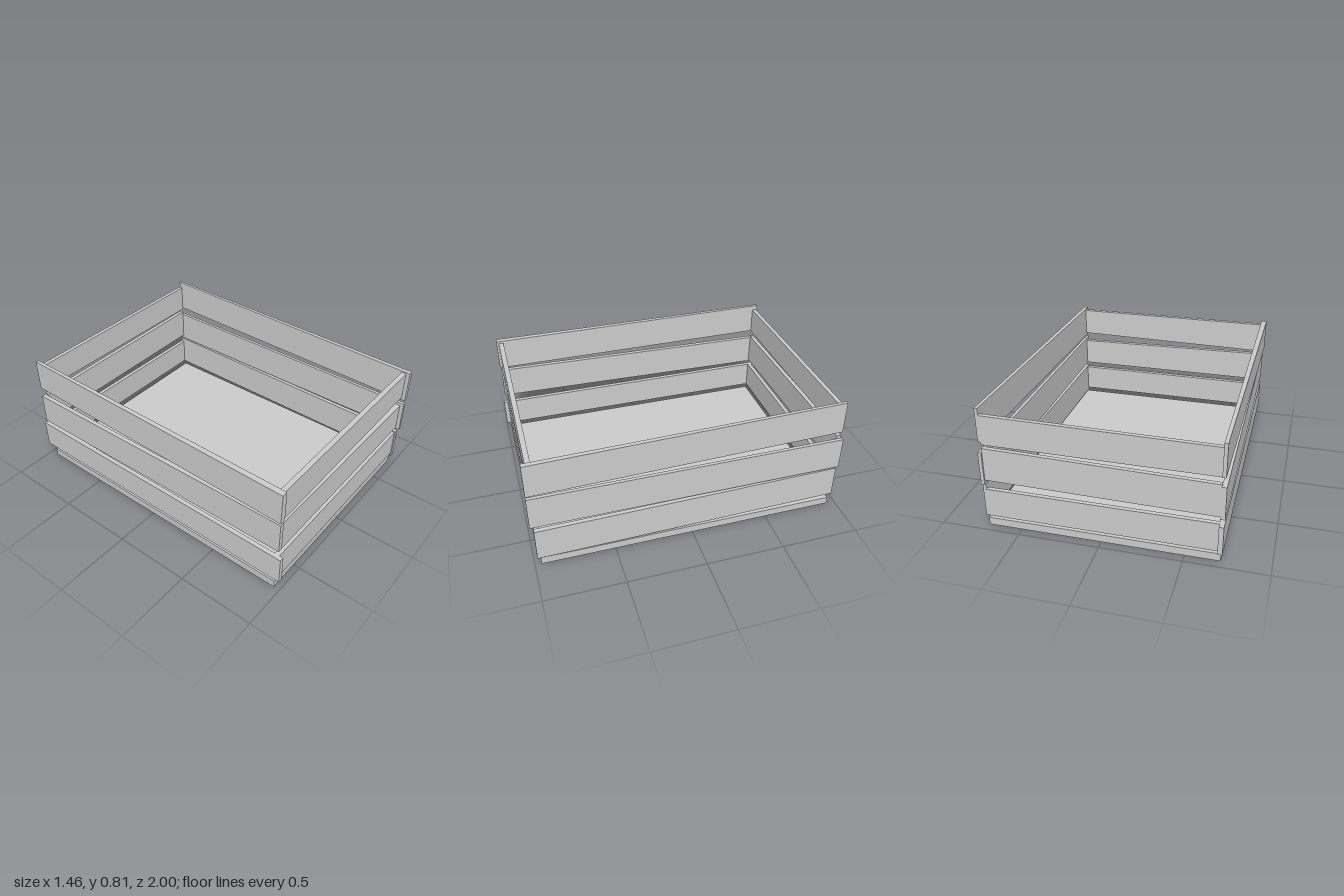
import * as THREE from 'three';

const material = new THREE.MeshStandardMaterial({ color: 0xcccccc, flatShading: true });

// Board running along z. Each end is [z, xMin, xMax, yBottom, yTop].
// With alongX the roles of x and z swap: [x, zMin, zMax, yBottom, yTop].
function board(name, low, high, alongX = false) {
  const geometry = new THREE.BoxGeometry(1, 1, 1);
  const p = geometry.attributes.position;
  for (let i = 0; i < p.count; i++) {
    const along = alongX ? p.getX(i) : p.getZ(i);
    const across = alongX ? p.getZ(i) : p.getX(i);
    const [end, inner, outer, bottom, top] = along < 0 ? low : high;
    const a = across < 0 ? inner : outer;
    const y = p.getY(i) < 0 ? bottom : top;
    p.setXYZ(i, alongX ? end : a, y, alongX ? a : end);
  }
  geometry.computeVertexNormals();
  const mesh = new THREE.Mesh(geometry, material);
  mesh.name = name;
  return mesh;
}

export function createModel() {
  const crate = new THREE.Group();
  crate.name = 'crate';

  // Solid floor panel
  crate.add(board('floor', [-0.945, -0.71, 0.715, 0, 0.05], [0.96, -0.71, 0.715, 0, 0.05]));

  // Long side slats, slightly crooked: back end, then front end
  const sides = {
    rightSlatLower: [[-0.965, 0.7, 0.72, 0.085, 0.3], [0.98, 0.7, 0.73, 0.065, 0.28]],
    rightSlatMiddle: [[-0.98, 0.7, 0.722, 0.31, 0.527], [1, 0.7, 0.722, 0.31, 0.527]],
    rightSlatUpper: [[-0.965, 0.7, 0.72, 0.588, 0.805], [1, 0.7, 0.73, 0.555, 0.772]],
    leftSlatLower: [[-1, -0.724, -0.695, 0.086, 0.272], [1, -0.724, -0.695, 0.086, 0.272]],
    leftSlatMiddle: [[-0.975, -0.724, -0.695, 0.305, 0.515], [0.985, -0.724, -0.695, 0.335, 0.545]],
    leftSlatUpper: [[-0.98, -0.717, -0.695, 0.577, 0.787], [0.99, -0.733, -0.695, 0.568, 0.778]],
  };
  for (const [name, [back, front]] of Object.entries(sides)) crate.add(board(name, back, front));

  // Short end slats fitted between the sides: [bottom, top] at the -x end, then at the +x end
  const ends = {
    Lower: { front: [0.086, 0.272, 0.086, 0.272], back: [0.086, 0.272, 0.086, 0.272] },
    Middle: { front: [0.316, 0.527, 0.316, 0.506], back: [0.318, 0.527, 0.335, 0.55] },
    Upper: { front: [0.552, 0.763, 0.574, 0.763], back: [0.574, 0.755, 0.574, 0.763] },
  };
  for (const [level, pair] of Object.entries(ends)) {
    for (const [side, z0, z1] of [['front', 0.943, 0.975], ['back', -0.97, -0.943]]) {
      const [b0, t0, b1, t1] = pair[side];
      crate.add(board(`${side}Slat${level}`, [-0.696, z0, z1, b0, t0], [0.701, z0, z1, b1, t1], true));
    }
  }
  return crate;
}
